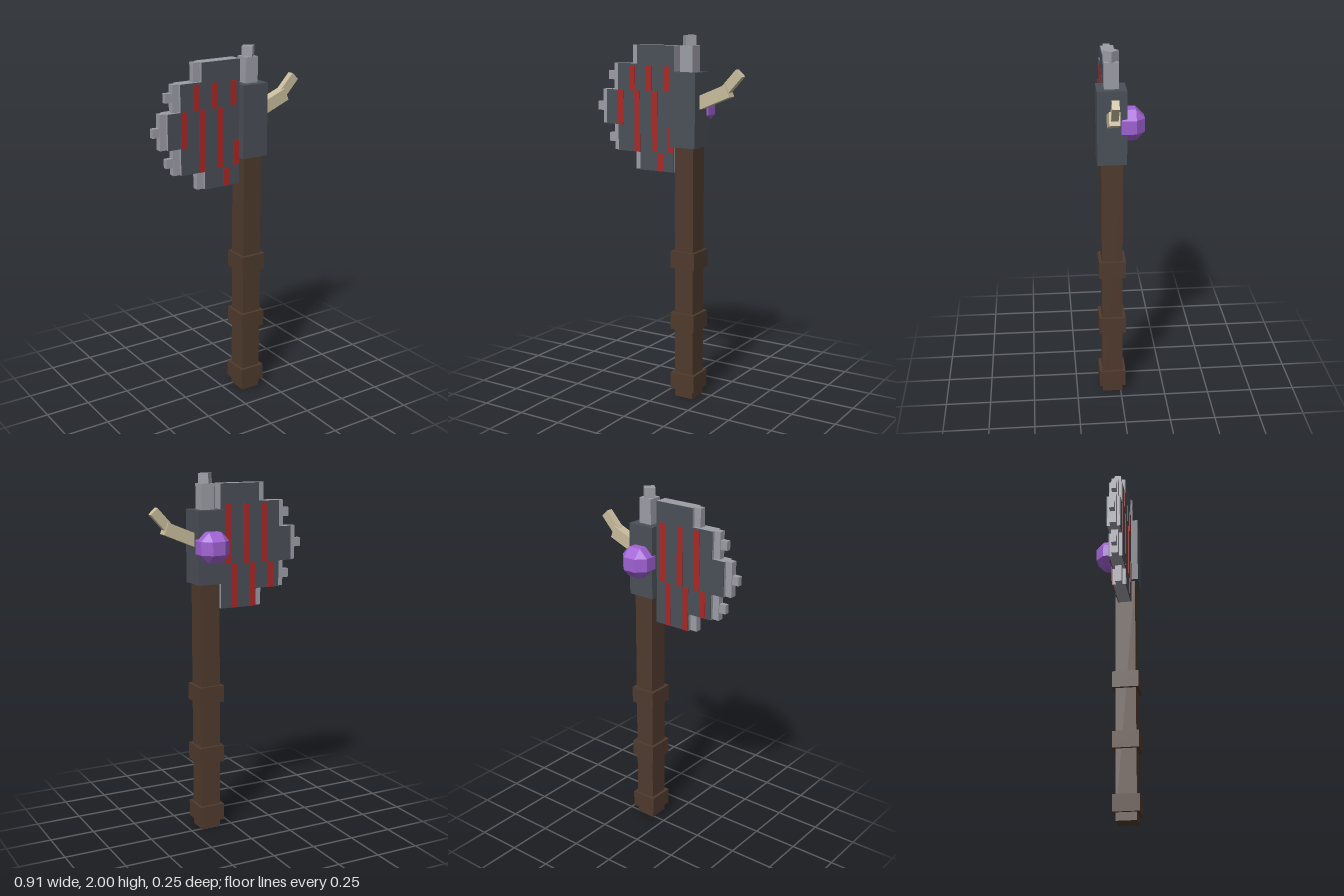
import * as THREE from 'three';
import { ConvexGeometry } from 'three/addons/geometries/ConvexGeometry.js';

const flat = (name, color) => {
  const m = new THREE.MeshStandardMaterial({ color });
  m.name = name;
  return m;
};

export function createModel() {
  const wood = flat('brown wood', 0x4f3a2d);
  const iron = flat('dark iron', 0x4a4f57);
  const steel = flat('pale steel', 0x9c9ca6);
  const red = flat('red marks', 0xa82826);
  const bone = flat('bone', 0xc8bc9c);
  const purple = flat('purple gem', 0xa062d4);

  const axe = new THREE.Group();
  axe.name = 'axe';
  const CX = 0.132, CZ = 0.047; // handle axis

  const add = (name, geometry, material, x, y, z, parent = axe) => {
    const mesh = new THREE.Mesh(geometry, material);
    mesh.name = name;
    mesh.position.set(x, y, z);
    parent.add(mesh);
    return mesh;
  };
  // Box given by its x and y limits, depth and centre z
  const slab = (name, material, [x0, x1, y0, y1], depth, z = CZ, parent = axe) =>
    add(name, new THREE.BoxGeometry(x1 - x0, y1 - y0, depth), material, (x0 + x1) / 2, (y0 + y1) / 2, z, parent);
  // Square post on the handle axis
  const post = (name, material, width, y0, y1) =>
    slab(name, material, [CX - width / 2, CX + width / 2, y0, y1], width);

  // Handle, grip bands and head
  post('handle', wood, 0.114, 0, 1.42);
  for (const y of [0.045, 0.395, 0.745]) post('gripBand', wood, 0.148, y, y + 0.095);
  post('headBlock', iron, 0.155, 1.41, 1.808);
  post('topSpike', steel, 0.077, 1.8, 1.946);
  post('spikeTip', steel, 0.058, 1.946, 2).rotation.y = Math.PI / 4;

  // Blade: stepped steel core faced with dark plates front and back
  const blade = new THREE.Group();
  blade.name = 'blade';
  axe.add(blade);
  const half = 0.0385, skin = 0.004;
  const columns = [
    [-0.177, 0.056, 1.365, 1.945],
    [-0.16, 0.056, 1.267, 1.365],
    [-0.304, -0.177, 1.365, 1.845],
    [-0.381, -0.304, 1.51, 1.7],
  ];
  for (const c of columns) {
    slab('bladeCore', steel, c, 2 * (half - skin), CZ, blade);
    for (const s of [1, -1]) slab('bladeFace', iron, c, skin, CZ + s * (half - skin / 2), blade);
  }

  // Narrower cutting edge strips, then teeth
  const edges = [
    [-0.217, -0.177, 1.845, 1.945],
    [-0.2, -0.16, 1.267, 1.365],
    [-0.342, -0.304, 1.7, 1.845],
    [-0.342, -0.304, 1.365, 1.51],
    [-0.418, -0.381, 1.51, 1.7],
  ];
  for (const e of edges) slab('cuttingEdge', steel, e, 0.037, CZ, blade);
  const teeth = [
    [-0.381, -0.342, 1.753, 1.802],
    [-0.381, -0.342, 1.409, 1.458],
    [-0.457, -0.418, 1.58, 1.629],
  ];
  for (const t of teeth) slab('tooth', steel, t, 0.028, CZ, blade);

  // Red marks: x centre, bottom, top
  const marksFront = [
    [-0.21, 1.7, 1.835], [-0.1, 1.7, 1.835], [0.015, 1.7, 1.835],
    [-0.287, 1.51, 1.7], [-0.178, 1.365, 1.7], [-0.062, 1.375, 1.7],
    [0.038, 1.375, 1.51], [-0.03, 1.267, 1.365],
  ];
  const marksBack = [
    [-0.21, 1.51, 1.835], [-0.1, 1.51, 1.835], [0.015, 1.51, 1.835],
    [-0.25, 1.365, 1.51], [-0.14, 1.267, 1.51], [-0.022, 1.267, 1.51],
  ];
  [[marksFront, 1], [marksBack, -1]].forEach(([marks, s]) => {
    for (const [x, y0, y1] of marks)
      slab('redMark', red, [x - 0.018, x + 0.018, y0, y1], 0.003, CZ + s * (half + 0.001), blade);
  });

  // Bent bone horn on the side opposite the blade
  const segment = (name, [x0, y0], [x1, y1], height, depth) => {
    const g = new THREE.BoxGeometry(Math.hypot(x1 - x0, y1 - y0), height, depth);
    add(name, g, bone, (x0 + x1) / 2, (y0 + y1) / 2, CZ).rotation.z = Math.atan2(y1 - y0, x1 - x0);
  };
  segment('hornBase', [0.17, 1.635], [0.372, 1.718], 0.069, 0.056);
  segment('hornTip', [0.345, 1.712], [0.435, 1.81], 0.052, 0.037);

  // Faceted gem set in the back of the head
  const a = 0.036, r = 0.083, points = [];
  for (const i of [-1, 1]) for (const j of [-1, 1]) for (const k of [-1, 1])
    points.push(
      new THREE.Vector3(i * r, j * a, k * a),
      new THREE.Vector3(i * a, j * r, k * a),
      new THREE.Vector3(i * a, j * a, k * r));
  add('gem', new ConvexGeometry(points), purple, 0.134, 1.614, -0.043);

  return axe;
}
